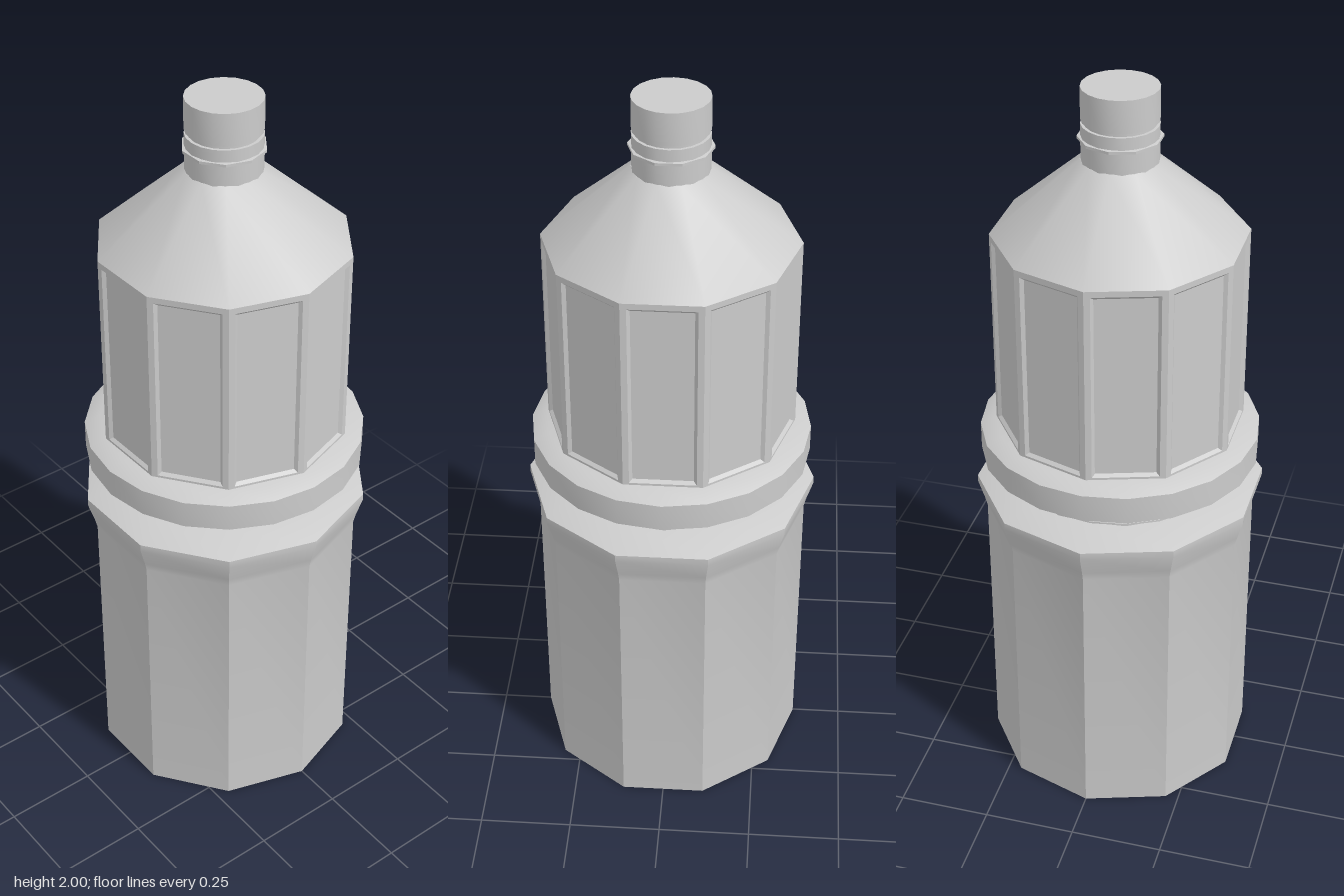
import * as THREE from 'three';
import { toCreasedNormals } from 'three/addons/utils/BufferGeometryUtils.js';

const SIDES = 10;
const material = new THREE.MeshStandardMaterial({ color: 0xcccccc });

// Revolved part with a corner on the x axis; corners sharper than 30 degrees stay crisp
function turned(name, sides, profile) {
  const lathe = new THREE.LatheGeometry(profile.map(([r, y]) => new THREE.Vector2(r, y)), sides);
  lathe.rotateY(Math.PI / 2);
  const mesh = new THREE.Mesh(toCreasedNormals(lathe, Math.PI / 6), material);
  mesh.name = name;
  return mesh;
}

// Flat wall facing +z with a bevelled, recessed panel, made of nested rectangles
function panelGeometry(halfWidth, y0, y1, z) {
  const rect = (inset, depth) => [
    [-halfWidth + inset, y0 + inset, z - depth],
    [halfWidth - inset, y0 + inset, z - depth],
    [halfWidth - inset, y1 - inset, z - depth],
    [-halfWidth + inset, y1 - inset, z - depth],
  ];
  const rings = [rect(0, 0), rect(0.016, 0), rect(0.024, 0.008)];
  const positions = [];
  const quad = (a, b, c, d) => positions.push(...a, ...b, ...c, ...a, ...c, ...d);
  for (let r = 0; r < rings.length - 1; r++) {
    for (let i = 0; i < 4; i++) {
      const j = (i + 1) % 4;
      quad(rings[r][i], rings[r][j], rings[r + 1][j], rings[r + 1][i]);
    }
  }
  quad(...rings[rings.length - 1]);
  const geometry = new THREE.BufferGeometry();
  geometry.setAttribute('position', new THREE.Float32BufferAttribute(positions, 3));
  geometry.computeVertexNormals();
  return geometry;
}

export function createModel() {
  const model = new THREE.Group();
  model.name = 'bottle';

  // Ten-sided lower body, flaring at its top
  model.add(turned('lowerBody', SIDES, [
    [0, 0], [0.365, 0], [0.365, 0.78], [0.371, 0.805], [0.388, 0.86], [0.388, 0.88], [0.3, 0.91], [0, 0.91],
  ]));

  // Narrow waist and round collar
  model.add(turned('waist', 20, [[0.292, 0.895], [0.292, 0.915], [0.282, 0.92], [0.282, 0.955]]));
  model.add(turned('collar', 20, [
    [0, 0.945], [0.297, 0.945], [0.373, 0.975], [0.373, 1.05], [0.333, 1.07], [0, 1.07],
  ]));

  // Upper body: ten recessed panels
  const radius = 0.33;
  const panel = panelGeometry(radius * Math.sin(Math.PI / SIDES), 1.06, 1.61, radius * Math.cos(Math.PI / SIDES));
  const upperBody = new THREE.Group();
  upperBody.name = 'upperBody';
  for (let i = 0; i < SIDES; i++) {
    const wall = new THREE.Mesh(panel, material);
    wall.name = 'wallPanel';
    wall.rotation.y = (i * 2 * Math.PI) / SIDES;
    upperBody.add(wall);
  }
  model.add(upperBody);

  // Tapered shoulder
  model.add(turned('shoulder', SIDES, [[radius, 1.61], [0.1, 1.81], [0, 1.81]]));

  // Neck, thin ring and cap
  model.add(turned('neck', 20, [[0.098, 1.8], [0.098, 1.905], [0.09, 1.905], [0.09, 1.92]]));
  model.add(turned('neckRing', SIDES, [[0.09, 1.862], [0.107, 1.865], [0.107, 1.872], [0.09, 1.875]]));
  model.add(turned('cap', 20, [[0, 1.915], [0.098, 1.915], [0.098, 2], [0, 2]]));

  return model;
}
